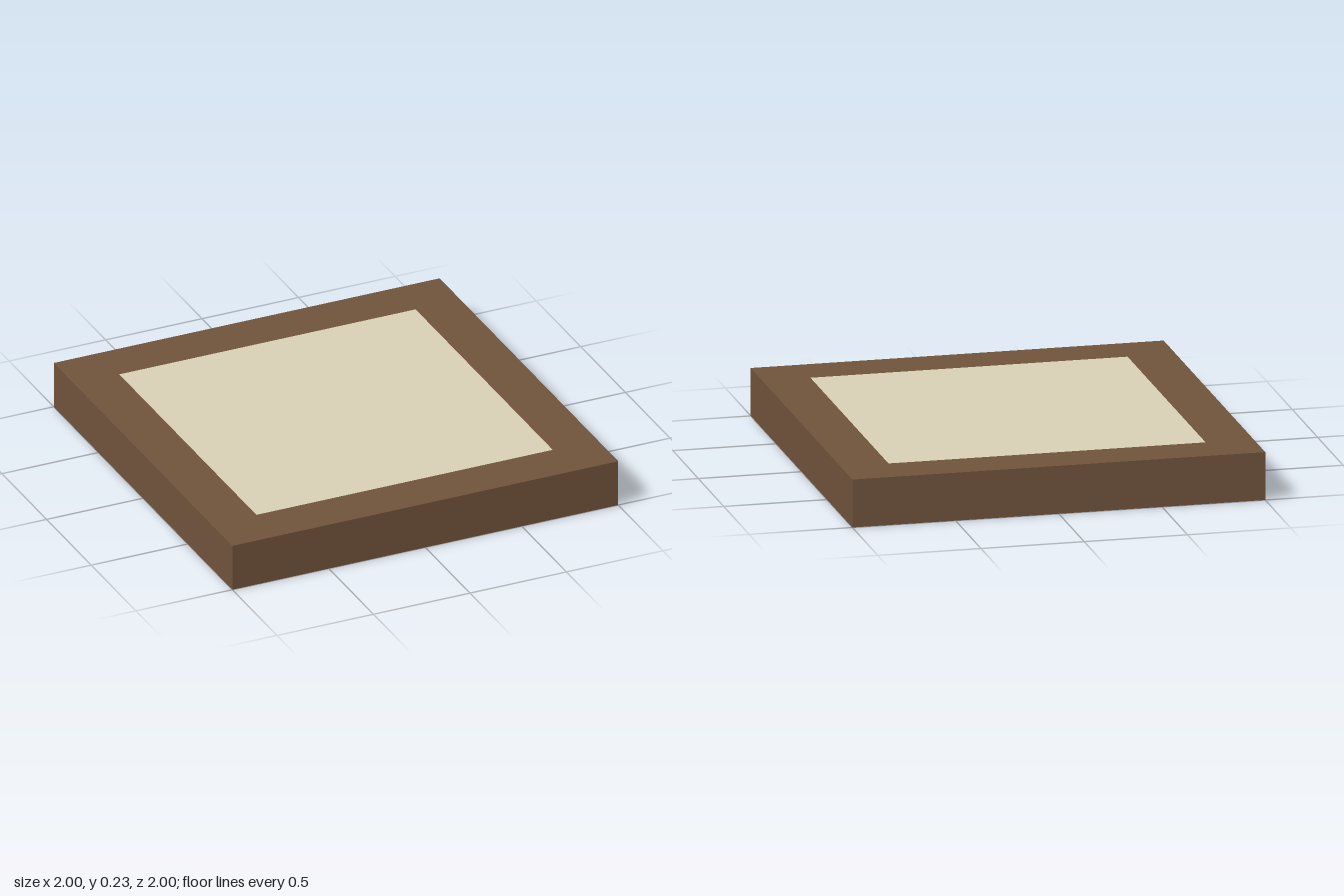
import * as THREE from 'three';

const HEIGHT = 0.234, OPENING = 0.768;
const WALL_TOP = 0.107, BEVEL = 0.058; // straight inner wall, then a 45 degree cove

// Flat square sheet facing up (side = 1) or down (side = -1)
function sheet(half, y, side, material, name) {
  const geometry = new THREE.PlaneGeometry(half * 2, half * 2);
  geometry.rotateX(-side * Math.PI / 2);
  const mesh = new THREE.Mesh(geometry, material);
  mesh.position.y = y;
  mesh.name = name;
  return mesh;
}

export function createModel() {
  const wood = new THREE.MeshStandardMaterial({ name: 'brown wood', color: 0x6f523b });
  const cream = new THREE.MeshStandardMaterial({ name: 'cream panel', color: 0xd8ceb5 });

  const group = new THREE.Group();
  group.name = 'framedPanel';

  // Frame: one cross-section swept round four sides, [half width, height]
  const profile = [
    [OPENING - BEVEL, WALL_TOP + BEVEL], [OPENING, WALL_TOP], [OPENING, 0],
    [1, 0], [1, HEIGHT], [OPENING, HEIGHT],
  ].map(([half, y]) => new THREE.Vector2(half * Math.SQRT2, y));
  const frameGeometry = new THREE.LatheGeometry(profile, 4).rotateY(Math.PI / 4).toNonIndexed();
  frameGeometry.computeVertexNormals();
  const frame = new THREE.Mesh(frameGeometry, wood);
  frame.name = 'frame';
  group.add(frame);

  // Panel faces: flush on top, recessed underneath
  group.add(sheet(OPENING, HEIGHT, 1, cream, 'panelTop'));
  group.add(sheet(OPENING - BEVEL, WALL_TOP + BEVEL, -1, cream, 'panelUnderside'));

  return group;
}
